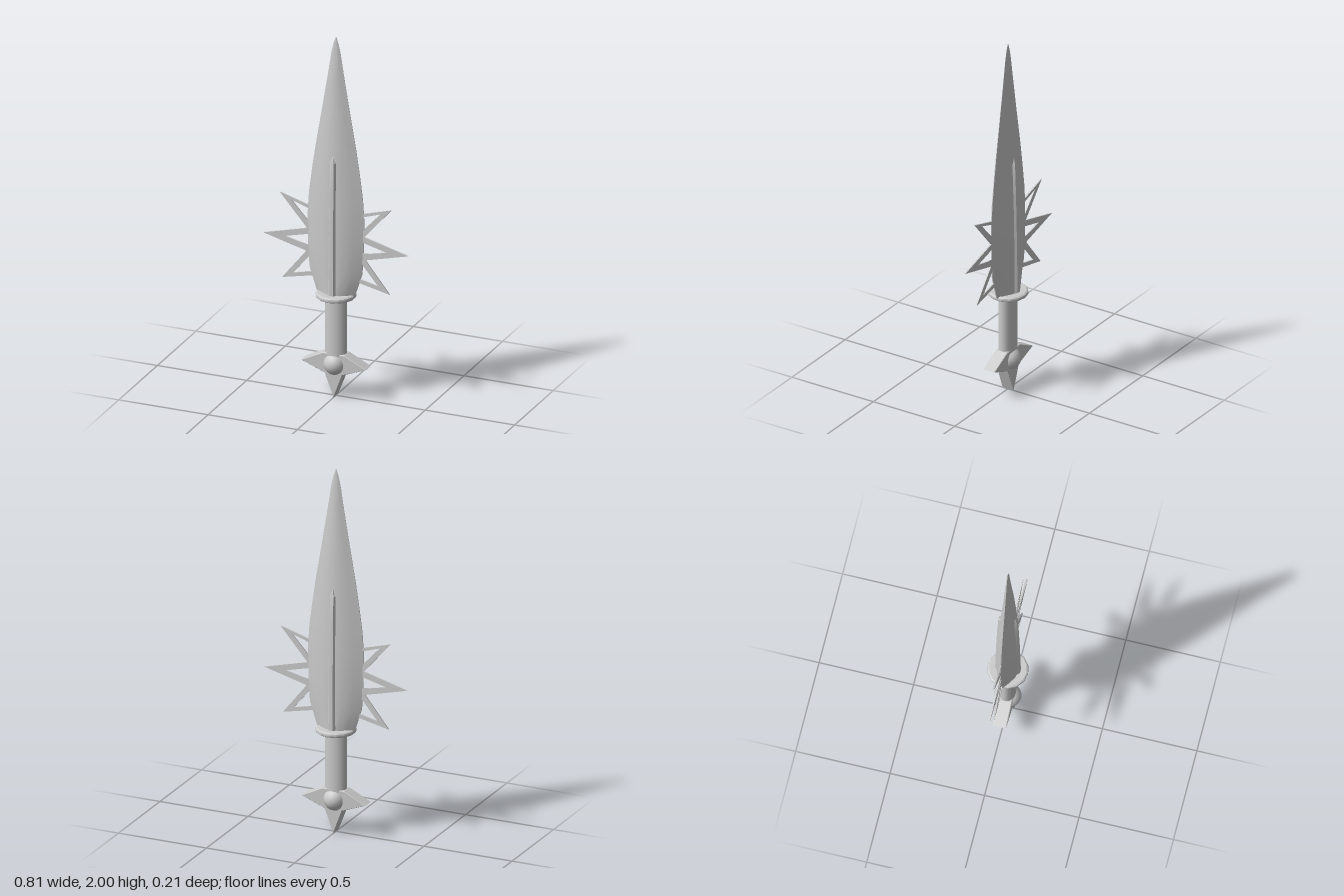
import * as THREE from 'three';
import { toCreasedNormals } from 'three/addons/utils/BufferGeometryUtils.js';

const material = new THREE.MeshStandardMaterial({ color: 0xcccccc });

function addPart(group, name, geometry) {
  const mesh = new THREE.Mesh(geometry, material);
  mesh.name = name;
  group.add(mesh);
  return mesh;
}

// Joins closed rings of [x, y, z] points, listed bottom to top, and caps both ends.
function loft(rings, crease) {
  const n = rings[0].length;
  const positions = rings.flat(2);
  const index = [];
  for (let r = 0; r < rings.length - 1; r++) {
    for (let i = 0; i < n; i++) {
      const a = r * n + i, b = r * n + (i + 1) % n;
      index.push(a, a + n, b, b, a + n, b + n);
    }
  }
  const top = (rings.length - 1) * n;
  for (let i = 1; i < n - 1; i++) {
    index.push(0, i, i + 1, top, top + i + 1, top + i);
  }
  const geometry = new THREE.BufferGeometry();
  geometry.setAttribute('position', new THREE.Float32BufferAttribute(positions, 3));
  geometry.setIndex(index);
  return toCreasedNormals(geometry, crease);
}

function shapeFrom(points) {
  return new THREE.Shape(points.map(([x, y]) => new THREE.Vector2(x, y)));
}

// Lens-shaped blade: [height, half width, half depth]
function bladeGeometry() {
  const profile = [
    [0.57, 0.105, 0.057], [0.7, 0.147, 0.056], [0.85, 0.156, 0.054], [1.0, 0.158, 0.051],
    [1.12, 0.15, 0.047], [1.25, 0.133, 0.042], [1.39, 0.112, 0.035], [1.6, 0.076, 0.023],
    [1.8, 0.043, 0.013], [1.91, 0.026, 0.008], [1.96, 0.015, 0.005], [1.99, 0.005, 0.002],
    [2.0, 0.0008, 0.0008],
  ];
  const quarter = [[1, 0.05], [0.9, 0.17], [0.7, 0.46], [0.36, 0.86]];
  const front = [...quarter, [0, 1], ...quarter.map(([x, z]) => [-x, z]).reverse()];
  const section = [...front, ...front.map(([x, z]) => [-x, -z])];
  return loft(profile.map(([y, w, d]) => section.map(([x, z]) => [x * w, y, z * d])), 0.45);
}

// Raised rib on a blade face: [height, half width, outer z]
function ribGeometry() {
  const profile = [
    [0.57, 0.021, 0.066], [0.9, 0.02, 0.061], [1.15, 0.018, 0.055],
    [1.31, 0.016, 0.049], [1.345, 0.003, 0.038],
  ];
  return loft(profile.map(([y, w, z]) => [
    [w * 0.6, y, 0.01], [w, y, z - 0.012], [w * 0.5, y, z],
    [-w * 0.5, y, z], [-w, y, z - 0.012], [-w * 0.6, y, 0.01],
  ]), 0.4);
}

// Flat zigzag of three open spikes on the model's left
function spikeGeometry() {
  const shape = shapeFrom([
    [0.06, 0.667], [0.3, 0.614], [0.165, 0.783], [0.405, 0.845],
    [0.16, 0.91], [0.312, 1.085], [0.06, 1.012],
  ]);
  const holes = [
    [[0.09, 1.0], [0.25, 1.053], [0.12, 0.912]],
    [[0.1, 0.892], [0.285, 0.845], [0.1, 0.803]],
    [[0.1, 0.815], [0.238, 0.649], [0.1, 0.681]],
  ];
  shape.holes = holes.map((points) => shapeFrom(points));
  return new THREE.ExtrudeGeometry(shape, { depth: 0.008, bevelEnabled: false })
    .translate(0, 0, -0.004);
}

export function createModel() {
  const model = new THREE.Group();
  model.name = 'dagger';

  addPart(model, 'blade', bladeGeometry());

  // Matching ribs and spikes, turned half a circle
  const rib = ribGeometry();
  const spikes = spikeGeometry();
  addPart(model, 'frontRib', rib);
  addPart(model, 'backRib', rib).rotation.y = Math.PI;
  addPart(model, 'leftSpikes', spikes);
  addPart(model, 'rightSpikes', spikes).rotation.y = Math.PI;

  // Disc guard with a rounded rim
  const rim = [[0, 0.554], [0.098, 0.554], [0.105, 0.559], [0.107, 0.567],
    [0.105, 0.575], [0.098, 0.58], [0, 0.58]];
  const guard = new THREE.LatheGeometry(rim.map(([x, y]) => new THREE.Vector2(x, y)), 14);
  addPart(model, 'guard', toCreasedNormals(guard, 0.6));

  // Oval grip
  const grip = addPart(model, 'grip', new THREE.CylinderGeometry(0.06, 0.06, 0.36, 16));
  grip.position.y = 0.38;
  grip.scale.z = 0.7;

  // Three-pointed pommel with a ball through its middle
  const pommelShape = shapeFrom([
    [0, 0.008], [0.048, 0.137], [0.178, 0.185], [0.06, 0.243],
    [-0.06, 0.243], [-0.178, 0.185], [-0.048, 0.137],
  ]);
  const pommel = new THREE.ExtrudeGeometry(pommelShape, {
    depth: 0.062, bevelThickness: 0.004, bevelSize: 0.003, bevelSegments: 1,
  }).translate(0, 0, -0.031);
  addPart(model, 'pommel', pommel);
  const ball = addPart(model, 'pommelBall', new THREE.SphereGeometry(0.064, 20, 14));
  ball.position.y = 0.186;
  ball.scale.z = 1.1;

  return model;
}
